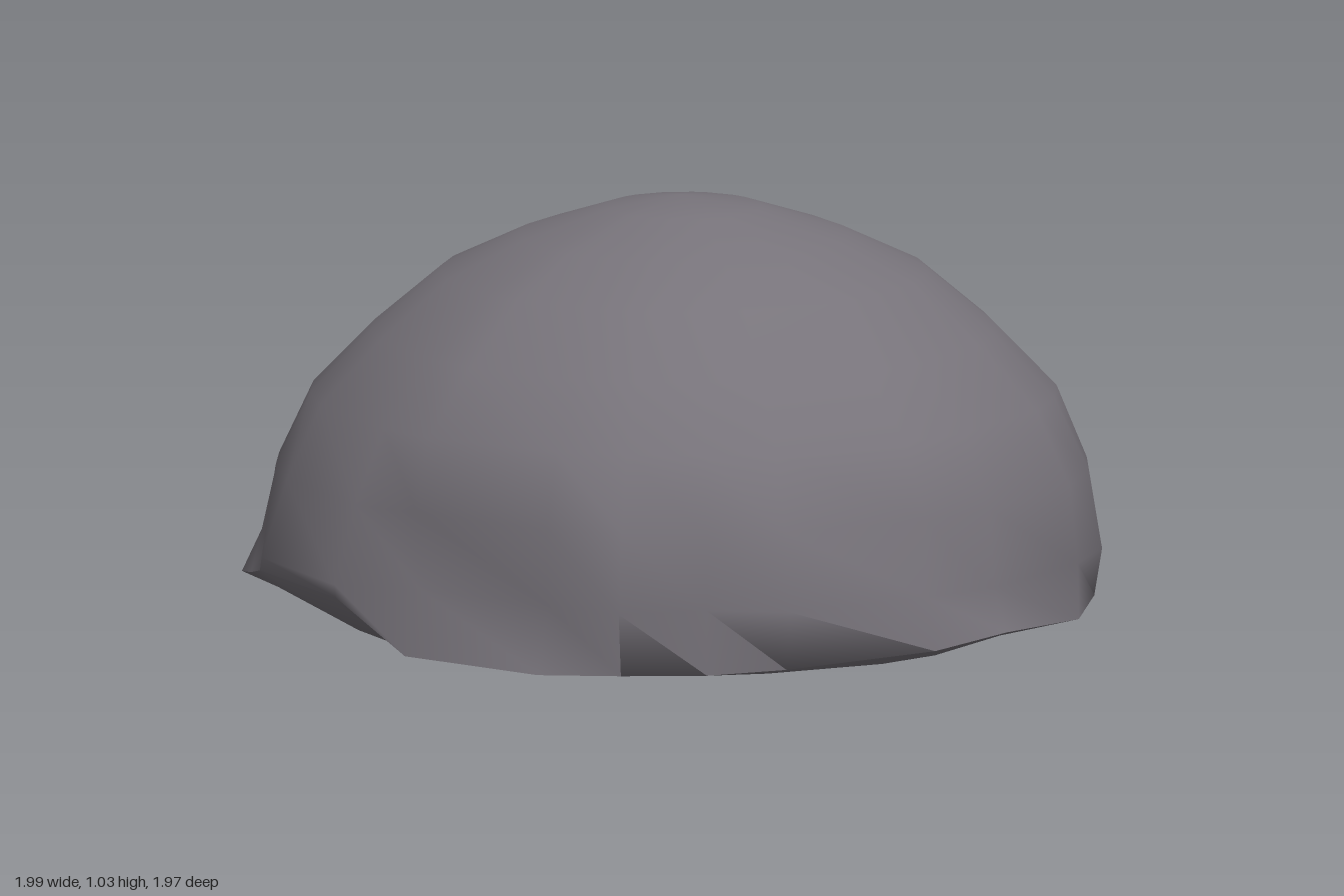
import * as THREE from 'three';
import { toCreasedNormals } from 'three/addons/utils/BufferGeometryUtils.js';

// Rim stations around the boulder: x, z, height of the rim, radius of the waist above it.
// A waist narrower than the rim forms a chipped ledge.
const rim = [
  [-0.05, -0.96, 0.15, 0.99], [0.13, -0.9, 0.08, 0.94], [0.48, -0.81, 0.12, 0.98],
  [0.64, -0.69, 0.14, 0.92], [0.77, -0.56, 0.12, 0.97], [0.88, -0.39, 0.1, 0.96],
  [0.99, -0.03, 0.13, 0.95], [0.96, 0.18, 0.11, 0.94], [0.8, 0.51, 0.09, 0.98],
  [0.68, 0.65, 0.08, 0.93], [0.54, 0.79, 0.08, 0.99], [0.39, 0.91, 0.08, 0.92],
  [0, 0.94, 0.08, 0.89], [-0.18, 0.98, 0.2, 1.0], [-0.55, 0.84, 0.2, 1.0],
  [-0.7, 0.71, 0.16, 0.96], [-0.84, 0.59, 0.13, 0.98], [-0.79, 0.35, 0.09, 0.865],
  [-0.86, 0.03, 0.07, 0.865], [-1.0, -0.16, 0.11, 0.98], [-0.75, -0.47, 0.09, 0.95],
  [-0.53, -0.73, 0.08, 0.95], [-0.42, -0.89, 0.18, 0.99],
];

export function createModel() {
  const group = new THREE.Group();
  const stone = new THREE.MeshStandardMaterial({ color: 0x77737a });
  stone.name = 'grey stone';

  // Cross-sections from the shallow underside to the crown: [height, radius]
  const n = rim.length;
  const sections = [[0.025, 0.56], [0.05, 0.77], 'rim', 'waist', [0.41, 0.94], [0.58, 0.86],
    [0.725, 0.72], [0.86, 0.56], [0.945, 0.38], [1.01, 0.18]];
  const positions = [0, 0, 0];
  for (const s of sections) {
    for (const [x, z, y, waist] of rim) {
      const len = Math.hypot(x, z);
      if (s === 'rim') positions.push(x, y, z);
      else {
        // Walls above a chip stay slightly hollow
        const r = s === 'waist' ? waist : s[0] === 0.41 ? Math.min(s[1], waist + 0.01) : s[1];
        positions.push(x / len * r, s === 'waist' ? 0.23 : s[0], z / len * r);
      }
    }
  }
  const apex = positions.length / 3;
  positions.push(-0.01, 1.035, 0);

  // Skin: underside fan, bands between sections, crown fan
  const index = [];
  const last = 1 + (sections.length - 1) * n;
  for (let i = 0; i < n; i++) {
    const j = (i + 1) % n;
    index.push(0, 1 + i, 1 + j);
    for (let k = 0; k < sections.length - 1; k++) {
      const a = 1 + k * n, b = a + n;
      index.push(a + i, b + i, b + j, a + i, b + j, a + j);
    }
    index.push(last + i, apex, last + j);
  }
  const geometry = new THREE.BufferGeometry();
  geometry.setAttribute('position', new THREE.Float32BufferAttribute(positions, 3));
  geometry.setIndex(index);

  const boulder = new THREE.Mesh(toCreasedNormals(geometry, 1.2), stone);
  boulder.name = 'boulder';
  group.add(boulder);
  return group;
}
